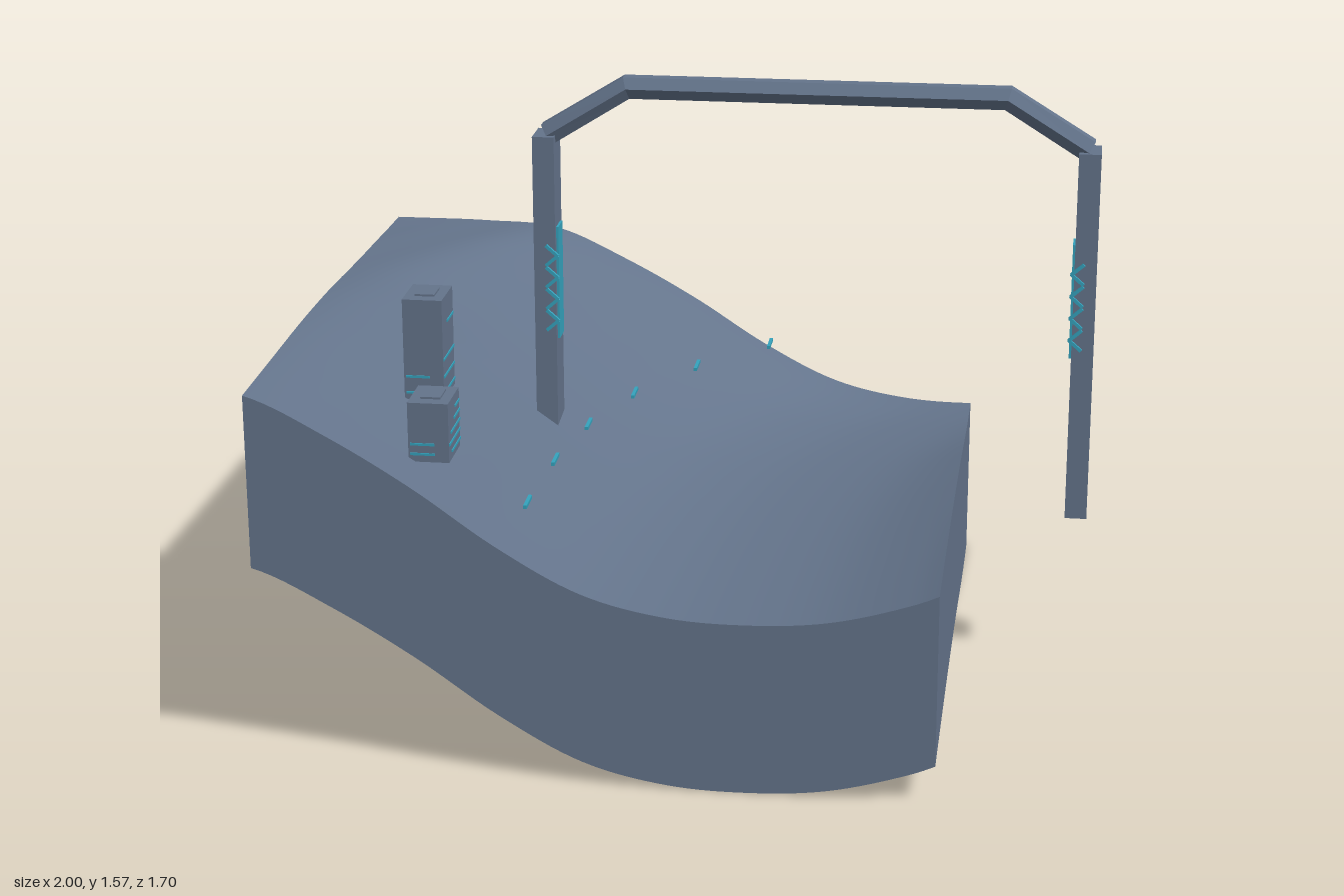
import * as THREE from 'three';

const slate = new THREE.MeshStandardMaterial({ color: 0x64748b, side: THREE.DoubleSide });
slate.name = 'slate';
const teal = new THREE.MeshStandardMaterial({ color: 0x35a3bd });
teal.name = 'teal';

// Smooth interpolation through evenly spaced samples
function sample(values, start, step, x) {
  const u = THREE.MathUtils.clamp((x - start) / step, 0, values.length - 1.0001);
  const i = Math.floor(u), t = u - i;
  const v = (k) => values[THREE.MathUtils.clamp(k, 0, values.length - 1)];
  const m0 = (v(i + 1) - v(i - 1)) / 2, m1 = (v(i + 2) - v(i)) / 2;
  const t2 = t * t, t3 = t2 * t;
  return v(i) * (2 * t3 - 3 * t2 + 1) + m0 * (t3 - 2 * t2 + t) + v(i + 1) * (3 * t2 - 2 * t3) + m1 * (t3 - t2);
}

// Hillside profile, shifted sideways and lowered towards the back
const PROFILE = [0.985, 0.986, 0.985, 0.97, 0.875, 0.755, 0.615, 0.505, 0.455, 0.445, 0.462, 0.518, 0.6];
const SHIFT = [0.465, 0.28, 0.145, 0.075, 0.035, 0.013, 0];
const SCALE = [0.917, 0.932, 0.955, 0.982, 0.998, 1, 1];
const X0 = -1, X1 = 0.66, Z0 = -0.82, Z1 = 0.85, DEPTH = 0.44;
function ground(x, z) {
  const step = (Z1 - Z0) / 6;
  const f = sample(PROFILE, -1.6, 0.2, x - sample(SHIFT, Z0, step, z));
  return 0.445 + (f - 0.445) * sample(SCALE, Z0, step, z);
}

function add(parent, name, geometry, material) {
  const mesh = new THREE.Mesh(geometry, material);
  mesh.name = name;
  parent.add(mesh);
  return mesh;
}

function box(parent, name, material, size, position) {
  const mesh = add(parent, name, new THREE.BoxGeometry(...size), material);
  mesh.position.set(...position);
  return mesh;
}

// Surface of a grid whose points come from a function of (u, v)
function surface(nu, nv, point) {
  const g = new THREE.PlaneGeometry(1, 1, nu, nv);
  const p = g.attributes.position;
  for (let i = 0; i < p.count; i++) p.setXYZ(i, ...point(p.getX(i) + 0.5, p.getY(i) + 0.5));
  g.computeVertexNormals();
  return g;
}

function makeTerrain() {
  const terrain = new THREE.Group();
  terrain.name = 'terrain';
  const lerp = THREE.MathUtils.lerp;
  add(terrain, 'hillside', surface(64, 64, (u, v) => {
    const x = lerp(X0, X1, u), z = lerp(Z1, Z0, v);
    return [x, ground(x, z), z];
  }), slate);
  // Skirt walls, open underneath
  const wall = (name, xa, za, xb, zb) => add(terrain, name, surface(64, 1, (u, v) => {
    const x = lerp(xa, xb, u), z = lerp(za, zb, u);
    return [x, ground(x, z) - DEPTH * (1 - v), z];
  }), slate);
  wall('frontWall', X0, Z1, X1, Z1);
  wall('leftWall', X1, Z1, X1, Z0);
  wall('backWall', X1, Z0, X0, Z0);
  wall('rightWall', X0, Z0, X0, Z1);
  return terrain;
}

// Six-sided beam bent along a path of four points
function makeBeam() {
  const path = [[-0.405, 1.42], [-0.2, 1.547], [0.762, 1.547], [0.967, 1.42]].map((p) => new THREE.Vector2(...p));
  const normals = path.map((p, i) => {
    const a = path[Math.max(i - 1, 0)], b = path[Math.min(i + 1, 3)];
    const d1 = p.clone().sub(a).normalize(), d2 = b.clone().sub(p).normalize();
    const t = d1.add(d2).normalize();
    return new THREE.Vector2(t.y, -t.x);
  });
  const g = new THREE.CylinderGeometry(0.033, 0.033, 3, 6, 3).toNonIndexed();
  const p = g.attributes.position;
  for (let k = 0; k < p.count; k++) {
    const i = Math.round(p.getY(k) + 1.5), offset = p.getX(k);
    p.setXYZ(k, path[i].x + normals[i].x * offset, path[i].y + normals[i].y * offset, p.getZ(k) + 0.02);
  }
  g.computeVertexNormals();
  return g;
}

function makeGate() {
  const gate = new THREE.Group();
  gate.name = 'gate';
  add(gate, 'archBeam', makeBeam(), slate);
  for (const [x, inward] of [[-0.411, 1], [0.97, -1]]) {
    box(gate, 'post', slate, [0.056, 0.97, 0.096], [x, 0.935, 0.018]);
    box(gate, 'lightPanel', teal, [0.006, 0.3, 0.06], [x + inward * 0.031, 1.03, 0.02]);
    // Stack of chevrons on the inner front corner
    for (let i = 0; i < 4; i++) {
      for (const s of [-1, 1]) {
        const bar = box(gate, 'chevronBar', teal, [0.042, 0.008, 0.008],
          [x + inward * 0.02, 0.935 + i * 0.058 + s * 0.013, 0.072]);
        bar.rotation.z = -s * inward * 0.72;
      }
    }
  }
  return gate;
}

function makeTower(x, z, bottom, top, strips) {
  const tower = new THREE.Group();
  tower.name = 'tower';
  box(tower, 'towerBody', slate, [0.1, top - bottom, 0.13], [x, (top + bottom) / 2, z]);
  box(tower, 'roofPad', slate, [0.05, 0.005, 0.065], [x, top + 0.0025, z]);
  // Lit window strips: height, length and offset along the side
  for (const [y, length, offset] of strips) {
    box(tower, 'sideWindow', teal, [0.003, 0.006, length], [x + 0.051, y, z + offset]);
  }
  for (const y of strips.slice(0, 2).map((s) => s[0])) {
    box(tower, 'frontWindow', teal, [0.06, 0.006, 0.003], [x - 0.015, y, z + 0.066]);
  }
  return tower;
}

export function createModel() {
  const model = new THREE.Group();
  model.name = 'hillsideGate';
  model.add(makeTerrain(), makeGate());
  model.add(makeTower(-0.655, 0.365, 0.83, 1.09,
    [[0.848, 0.125, 0], [0.89, 0.125, 0], [0.935, 0.125, 0], [1.022, 0.075, -0.025]]));
  model.add(makeTower(-0.585, 0.645, 0.77, 0.92,
    [[0.79, 0.1, -0.015], [0.815, 0.125, 0], [0.84, 0.105, -0.01], [0.865, 0.07, -0.03], [0.89, 0.05, -0.035]]));

  // Track markers along the slope
  for (const [x, y, z] of [[-0.37, 0.628, 0.58], [-0.35, 0.638, 0.3], [-0.31, 0.636, 0.02],
    [-0.23, 0.63, -0.26], [-0.095, 0.622, -0.535], [0.08, 0.602, -0.815]]) {
    box(model, 'trackMarker', teal, [0.009, 0.009, 0.075], [x, y, z]);
  }
  return model;
}
